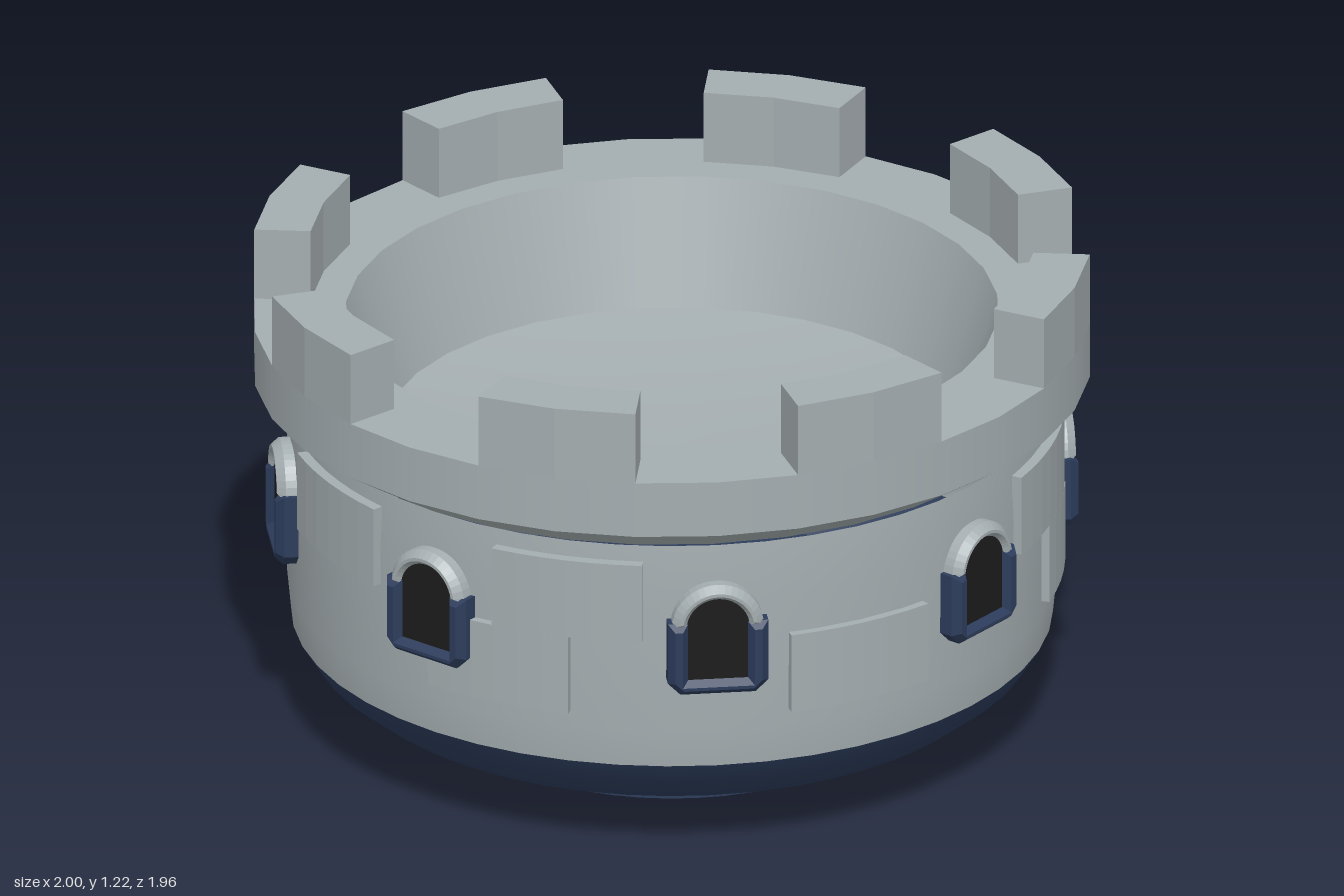
import * as THREE from 'three';

const stone = new THREE.MeshStandardMaterial({ color: 0xa4adb0, side: THREE.DoubleSide });
const navy = new THREE.MeshStandardMaterial({ color: 0x2c3c5b, side: THREE.DoubleSide });
const dark = new THREE.MeshStandardMaterial({ color: 0x1c1c1c });
stone.name = 'stone grey';
navy.name = 'navy blue';
dark.name = 'window black';

const rad = THREE.MathUtils.degToRad;

function add(parent, name, geometry, material) {
  const mesh = new THREE.Mesh(geometry, material);
  mesh.name = name;
  parent.add(mesh);
  return mesh;
}

// Turned surface; separate bands keep the edges between them sharp
function band(parent, name, points, material, sides = 48) {
  const profile = points.map(([r, y]) => new THREE.Vector2(r, y));
  return add(parent, name, new THREE.LatheGeometry(profile, sides), material);
}

// Curved block around the y axis, angles in degrees measured from +z towards +x
function arcBlock(parent, name, centre, half, inner, outer, y0, y1, steps) {
  const at = (r, t) => {
    const a = rad(-half + (2 * half * t) / steps);
    return new THREE.Vector2(r * Math.sin(a), -r * Math.cos(a));
  };
  const points = [];
  for (let i = 0; i <= steps; i++) points.push(at(outer, i));
  for (let i = steps; i >= 0; i--) points.push(at(inner, i));
  const geo = new THREE.ExtrudeGeometry(new THREE.Shape(points), { depth: y1 - y0, bevelEnabled: false });
  geo.rotateX(-Math.PI / 2).rotateY(rad(centre)).translate(0, y0, 0);
  return add(parent, name, geo, stone);
}

function makeWindow() {
  const group = new THREE.Group();
  group.name = 'window';
  const bevel = { bevelEnabled: true, bevelThickness: 0.02, bevelSize: 0.016, bevelOffset: -0.016, bevelSegments: 1 };

  // U-shaped lower frame with chamfered corners
  const lower = new THREE.Shape([
    [-0.12, 0.655], [-0.12, 0.5], [-0.09, 0.47], [0.09, 0.47], [0.12, 0.5], [0.12, 0.655],
    [0.07, 0.655], [0.07, 0.51], [-0.07, 0.51], [-0.07, 0.655],
  ].map(([x, y]) => new THREE.Vector2(x, y)));
  add(group, 'lowerFrame', new THREE.ExtrudeGeometry(lower, { depth: 0.035, ...bevel }), navy).position.z = 0.905;

  // Half-ring arch
  const arch = new THREE.Shape();
  arch.absarc(0, 0.64, 0.11, 0, Math.PI, false);
  arch.absarc(0, 0.64, 0.07, Math.PI, 0, true);
  add(group, 'arch', new THREE.ExtrudeGeometry(arch, { depth: 0.03, curveSegments: 10, ...bevel }), stone).position.z = 0.905;

  // Dark pane
  const pane = new THREE.Shape();
  pane.moveTo(-0.085, 0.495);
  pane.lineTo(0.085, 0.495);
  pane.lineTo(0.085, 0.64);
  pane.absarc(0, 0.64, 0.085, 0, Math.PI, false);
  add(group, 'pane', new THREE.ShapeGeometry(pane, 10), dark).position.z = 0.942;
  return group;
}

export function createModel() {
  const model = new THREE.Group();
  model.name = 'castleTower';

  // Open foot and dark underside
  band(model, 'foot', [[0.51, 0], [0.51, 0.13]], navy);
  band(model, 'underside', [[0.51, 0.13], [0.78, 0.13]], navy);
  band(model, 'lowerBevel', [[0.78, 0.13], [0.862, 0.195], [0.905, 0.265]], navy);

  // Hollow wall
  band(model, 'wall', [[0.905, 0.265], [0.914, 0.36], [0.915, 0.7], [0.905, 0.84]], stone);

  // Flared rim, slightly shallower front to back
  const rim = new THREE.Group();
  rim.name = 'rim';
  rim.scale.z = 0.982;
  model.add(rim);
  band(rim, 'rimFlare', [[0.9, 0.835], [1, 0.9]], stone, 32);
  band(rim, 'rimSide', [[1, 0.9], [1, 1.04]], stone, 32);
  band(rim, 'rimTop', [[1, 1.04], [0.78, 1.04]], stone, 32);
  for (let i = 0; i < 8; i++) {
    arcBlock(rim, 'battlement', i * 45, 11.25, 0.865, 1, 1.035, 1.22, 2);
  }

  // Recessed bowl
  band(rim, 'bowlWall', [[0.78, 1.04], [0.685, 0.74]], stone, 32);
  band(rim, 'bowlFloor', [[0.685, 0.74], [0.5, 0.708], [0.25, 0.687], [0, 0.68]], stone, 32);

  // Raised stones: upper and lower courses
  for (const a of [45, -45, 90, -90, 146, -146]) {
    arcBlock(model, 'upperStone', a, 11.5, 0.908, 0.934, 0.6, 0.8, 6);
  }
  for (const a of [0, 56, -56, 135, -135]) {
    arcBlock(model, 'lowerStone', a, 11.5, 0.908, 0.934, 0.4, 0.6, 6);
  }

  // Windows between the main axes
  for (let i = 0; i < 8; i++) {
    const win = makeWindow();
    win.rotation.y = rad(22.5 + i * 45);
    model.add(win);
  }
  return model;
}
